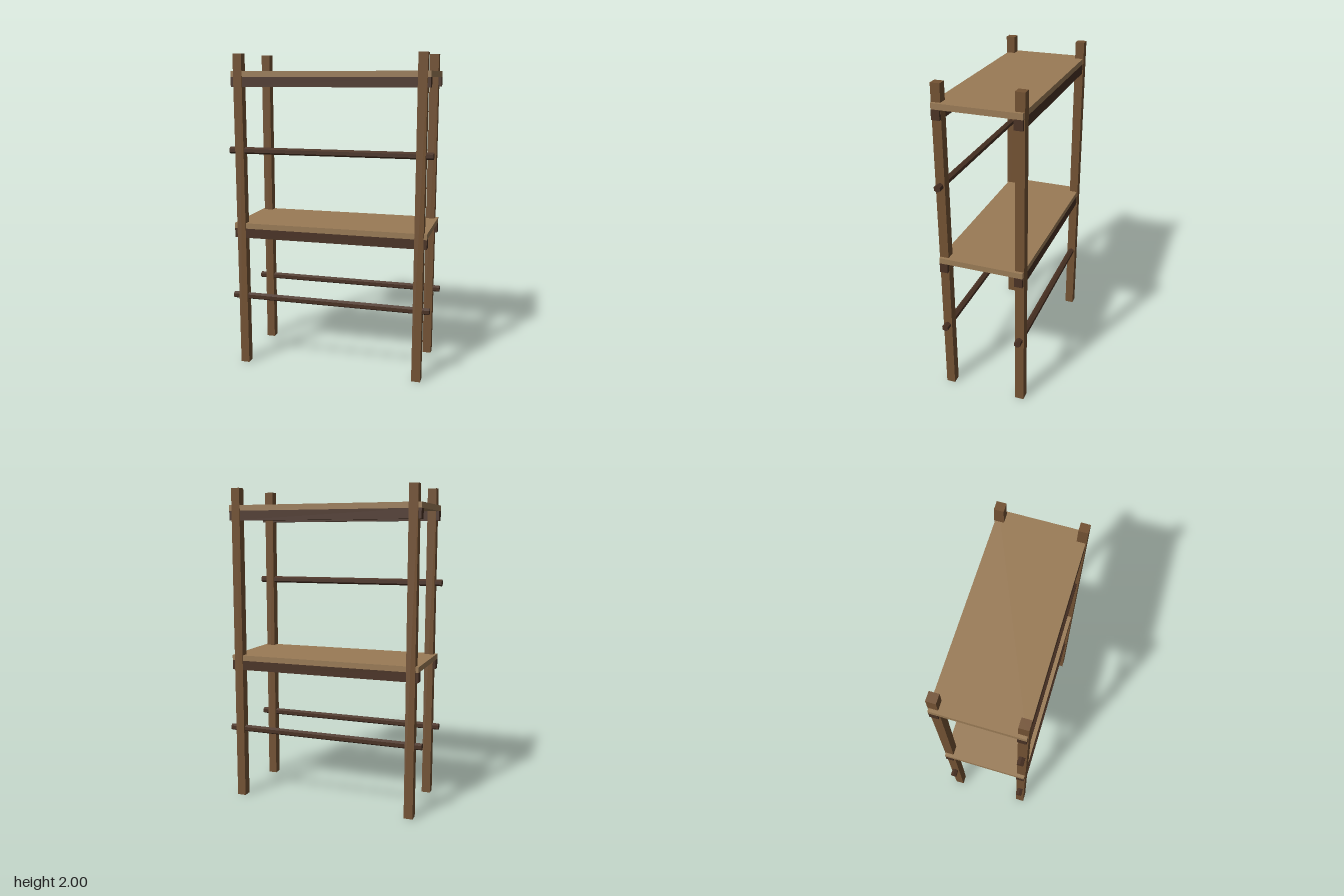
import * as THREE from 'three';

const POST_X = 0.57;
const POST_Z = 0.237;

export function createModel() {
  const model = new THREE.Group();
  model.name = 'shelfRack';

  const wood = (color) => new THREE.MeshStandardMaterial({ color, flatShading: true });
  const postWood = wood(0x735233);
  const boardWood = wood(0x9a7b56);
  const darkWood = wood(0x4a3224);

  const add = (name, geometry, material, x, y, z) => {
    const mesh = new THREE.Mesh(geometry, material);
    mesh.name = name;
    mesh.position.set(x, y, z);
    model.add(mesh);
  };

  // Four square corner posts
  const post = new THREE.BoxGeometry(0.056, 2, 0.056);
  for (const x of [-POST_X, POST_X]) {
    for (const z of [-POST_Z, POST_Z]) {
      add(`${z > 0 ? 'front' : 'back'}${x > 0 ? 'Left' : 'Right'}Post`, post, postWood, x, 1, z);
    }
  }

  // Two shelves, each a board resting on a front and a back rail
  const board = new THREE.BoxGeometry(1.234, 0.035, 0.52);
  const rail = new THREE.BoxGeometry(1.234, 0.06, 0.05);
  for (const [level, top] of [['lower', 0.943], ['upper', 1.895]]) {
    add(`${level}ShelfBoard`, board, boardWood, 0, top - 0.0175, 0);
    add(`${level}FrontRail`, rail, darkWood, 0, top - 0.065, 0.235);
    add(`${level}BackRail`, rail, darkWood, 0, top - 0.065, -0.235);
  }

  // Hexagonal rods with an edge on top; the upper back one is left out
  const rod = new THREE.CylinderGeometry(0.0215, 0.0215, 1.284, 6);
  rod.rotateY(Math.PI / 2).rotateZ(Math.PI / 2);
  add('lowerFrontRod', rod, darkWood, 0, 0.455, POST_Z);
  add('lowerBackRod', rod, darkWood, 0, 0.455, -POST_Z);
  add('upperFrontRod', rod, darkWood, 0, 1.407, POST_Z);

  return model;
}
